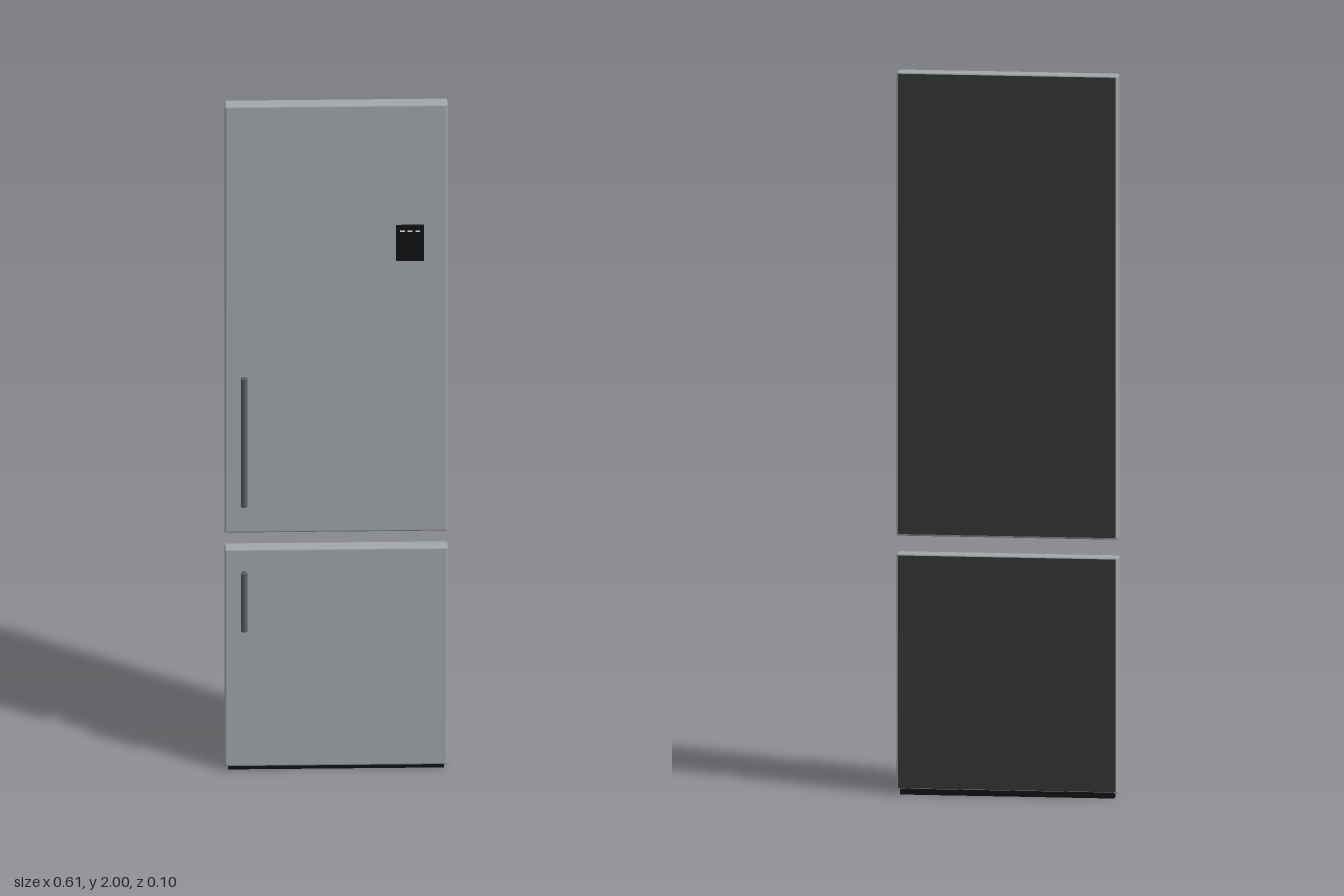
import * as THREE from 'three';
import { RoundedBoxGeometry } from 'three/addons/geometries/RoundedBoxGeometry.js';

const mat = (color) => new THREE.MeshStandardMaterial({ color });

export function createModel() {
  const group = new THREE.Group();
  const steel = mat(0xa3a8aa), handleGrey = mat(0x5a5e60), rubber = mat(0x333535);
  const black = mat(0x111214), white = mat(0xe8eef0);

  const add = (parent, name, geometry, material, x, y, z) => {
    const mesh = new THREE.Mesh(geometry, material);
    mesh.name = name;
    mesh.position.set(x, y, z);
    parent.add(mesh);
    return mesh;
  };

  // Door slab with soft edges, rear gasket panel and bar handle on two posts
  const addDoor = (name, y0, y1, bar0, bar1, postInset) => {
    const door = new THREE.Group();
    door.name = name;
    const h = y1 - y0, mid = (y0 + y1) / 2;
    add(door, 'doorSlab', new RoundedBoxGeometry(0.61, h, 0.043, 3, 0.006), steel, 0, mid, -0.0245);
    add(door, 'gasketPanel', new THREE.BoxGeometry(0.598, h - 0.012, 0.012), rubber, 0, mid, -0.045);

    const handle = new THREE.Group();
    handle.name = 'handle';
    handle.position.x = -0.252;
    add(handle, 'handleBar', new THREE.CylinderGeometry(0.009, 0.009, bar1 - bar0, 24), handleGrey,
      0, (bar0 + bar1) / 2, 0.04);
    for (const y of [bar0 + postInset, bar1 - postInset]) {
      add(handle, 'handlePost', new THREE.CylinderGeometry(0.006, 0.006, 0.045, 16), handleGrey,
        0, y, 0.0175).rotation.x = Math.PI / 2;
    }
    door.add(handle);
    group.add(door);
    return door;
  };

  const upper = addDoor('upperDoor', 0.715, 2.0, 0.815, 1.2, 0.02);
  addDoor('lowerDoor', 0.012, 0.667, 0.44, 0.615, 0.019);

  // Control display with three indicator dashes
  const display = new THREE.Group();
  display.name = 'controlDisplay';
  add(display, 'displayPlate', new RoundedBoxGeometry(0.076, 0.108, 0.006, 2, 0.002), black, 0.202, 1.585, -0.002);
  for (const x of [0.181, 0.202, 0.223]) {
    add(display, 'indicator', new THREE.BoxGeometry(0.013, 0.004, 0.002), white, x, 1.621, 0.001);
  }
  upper.add(display);

  // Dark strip under the lower door
  add(group, 'bottomStrip', new THREE.BoxGeometry(0.59, 0.016, 0.036), black, 0, 0.008, -0.03);

  return group;
}
